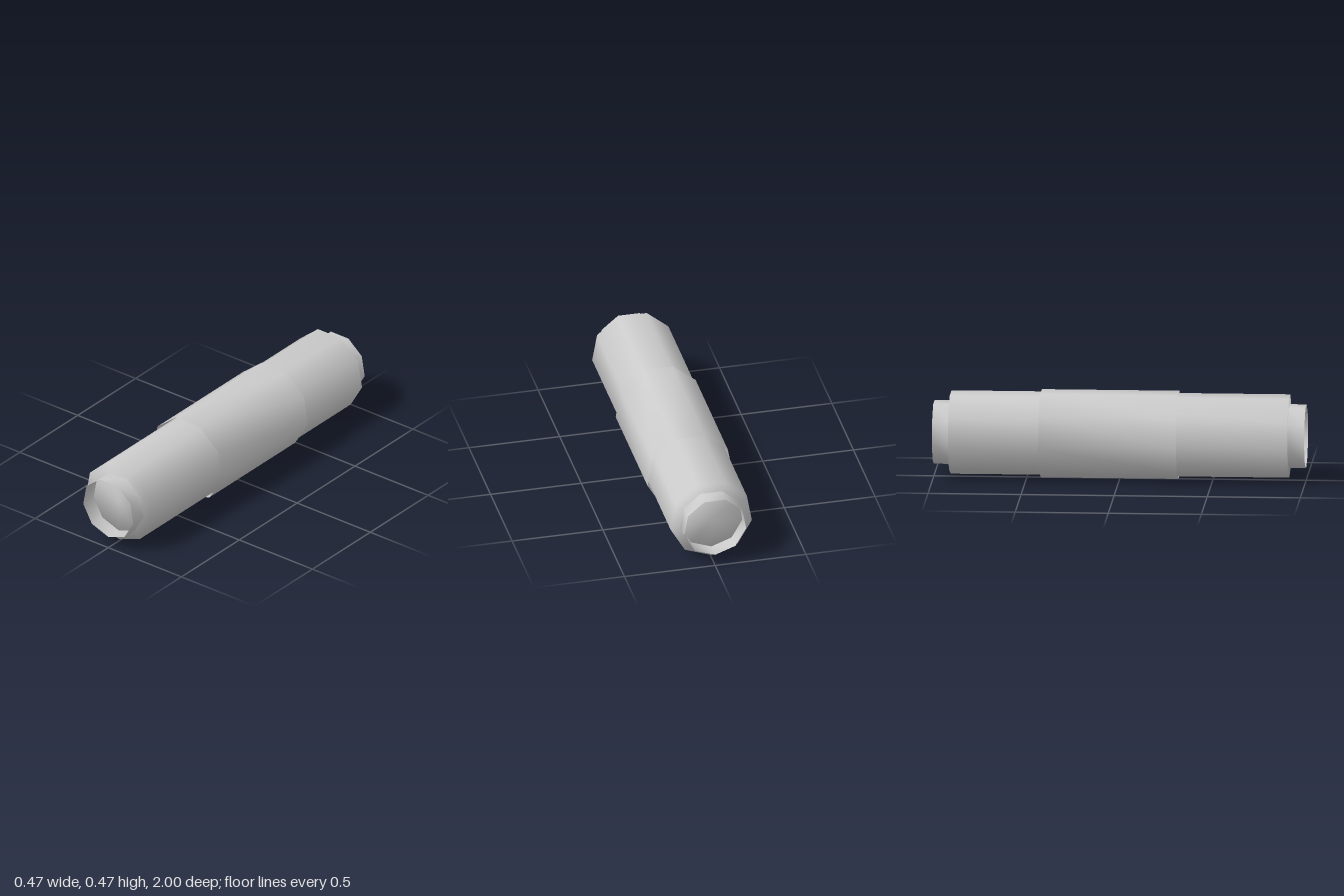
import * as THREE from 'three';
import { mergeVertices } from 'three/addons/utils/BufferGeometryUtils.js';

const SIDES = 9;
const AXIS_Y = 0.24;

export function createModel() {
  const model = new THREE.Group();
  const material = new THREE.MeshStandardMaterial({ color: 0xcccccc, side: THREE.DoubleSide });

  // Nine-sided prism along z with one corner pointing straight down
  function prism(name, radius, zBack, zFront, open) {
    let geometry = new THREE.CylinderGeometry(radius, radius, zFront - zBack, SIDES, 1, open);
    geometry.rotateX(Math.PI / 2);
    // Weld the corners so that shading flows over every edge
    geometry.deleteAttribute('normal');
    geometry.deleteAttribute('uv');
    geometry = mergeVertices(geometry, 1e-4);
    geometry.computeVertexNormals();
    const mesh = new THREE.Mesh(geometry, material);
    mesh.name = name;
    mesh.position.set(0, AXIS_Y, (zBack + zFront) / 2);
    model.add(mesh);
    return mesh;
  }

  // Closed main body
  prism('barrel', 0.227, -0.91, 0.91, false);

  // Loose open sleeve, turned slightly about the axis
  prism('sleeve', 0.24, -0.425, 0.315, true).rotation.z = -0.02;

  // Open collars on both ends
  prism('frontCollar', 0.1735, 0.91, 1, true);
  prism('backCollar', 0.1735, -1, -0.91, true);

  return model;
}
